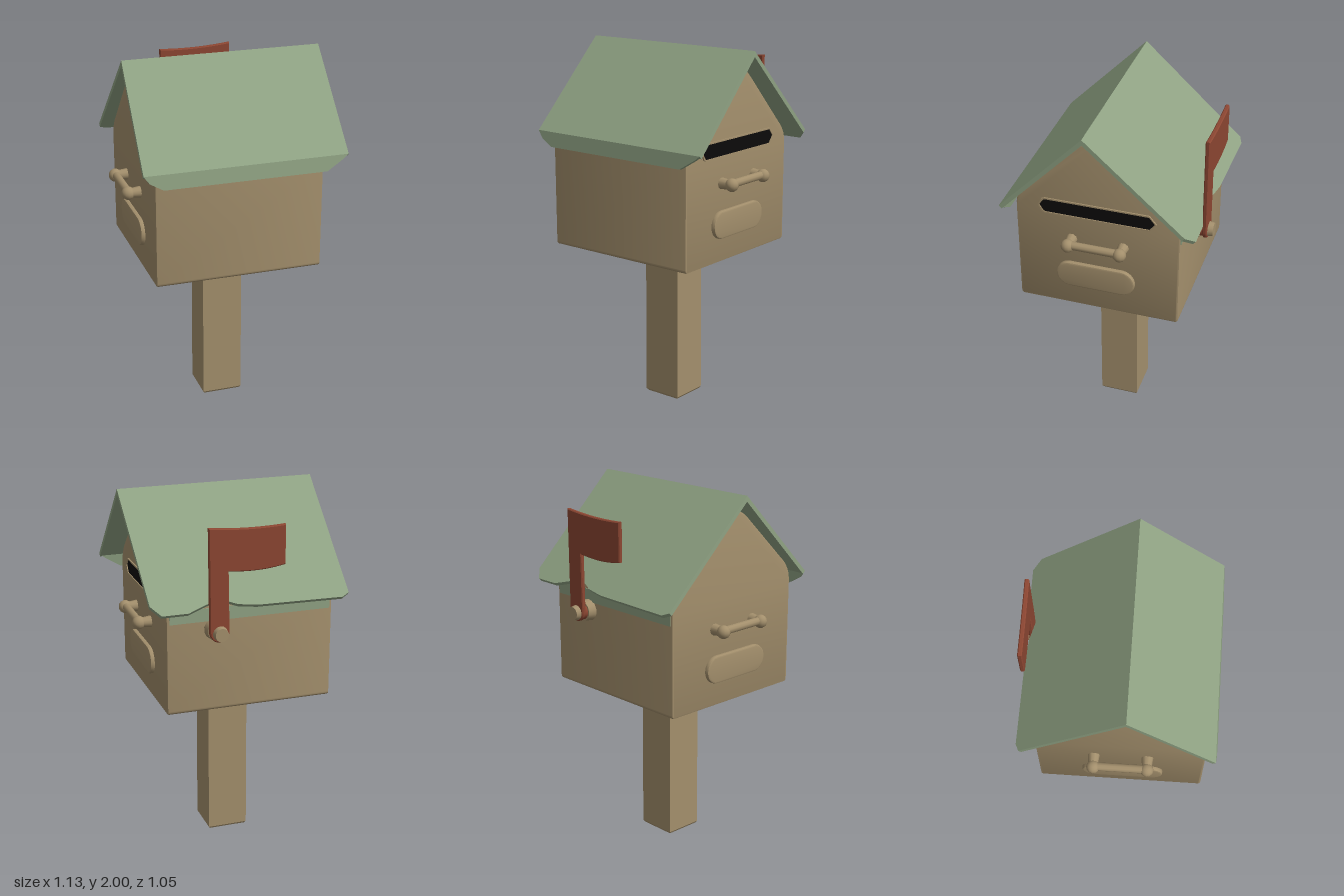
import * as THREE from 'three';
import { toCreasedNormals } from 'three/addons/utils/BufferGeometryUtils.js';

const material = (name, color) => {
  const m = new THREE.MeshStandardMaterial({ color });
  m.name = name;
  return m;
};

export function createModel() {
  const group = new THREE.Group();
  const tan = material('tan wood', 0xa38f6c);
  const green = material('sage green', 0x8fa283);
  const red = material('rust red', 0x8c4632);
  const dark = material('dark opening', 0x0c0b0a);

  const add = (name, geometry, mat, parent = group) => {
    const mesh = new THREE.Mesh(geometry, mat);
    mesh.name = name;
    parent.add(mesh);
    return mesh;
  };
  const polygon = (points) => new THREE.Shape(points.map(([x, y]) => new THREE.Vector2(x, y)));

  // Extrudes a (z, y) outline along x, from x0 to x1
  const alongX = (shape, x0, x1, bevel = 0) => {
    const g = new THREE.ExtrudeGeometry(shape, {
      depth: x1 - x0 - 2 * bevel, curveSegments: 10, bevelEnabled: bevel > 0,
      bevelSize: bevel, bevelThickness: bevel, bevelOffset: -bevel, bevelSegments: 2,
    });
    g.rotateY(Math.PI / 2).translate(x0 + bevel, 0, 0);
    return toCreasedNormals(g, 0.6);
  };

  // Post with a flared capital, built as a four-sided lathe
  const r = Math.SQRT2;
  const postProfile = [[0, 0], [0.105, 0], [0.113, 0.012], [0.112, 0.78], [0.125, 0.8],
    [0.155, 0.825], [0.16, 0.85], [0.16, 0.9], [0, 0.9]]
    .map(([w, y]) => new THREE.Vector2(w * r, y));
  const post = new THREE.LatheGeometry(postProfile, 4).rotateY(Math.PI / 4).scale(1, 1, 0.96);
  add('post', toCreasedNormals(post, 0.5), tan).position.z = 0.02;

  // Box body with rounded gable (shape x is -z)
  const b = new THREE.Shape();
  b.moveTo(-0.45, 0.89);
  b.lineTo(0.39, 0.89);
  b.quadraticCurveTo(0.41, 0.89, 0.41, 0.91);
  b.lineTo(0.41, 1.45);
  b.quadraticCurveTo(0.41, 1.51, 0.35, 1.565);
  b.lineTo(0.06, 1.865);
  b.quadraticCurveTo(-0.04, 1.96, -0.13, 1.87);
  b.lineTo(-0.4, 1.61);
  b.quadraticCurveTo(-0.47, 1.55, -0.47, 1.47);
  b.lineTo(-0.47, 0.91);
  b.quadraticCurveTo(-0.47, 0.89, -0.45, 0.89);
  add('body', alongX(b, -0.47, 0.44, 0.008), tan);

  // Roof: thin sheets, each drawn as (x, distance down the slope)
  const roof = new THREE.Group();
  roof.name = 'roof';
  group.add(roof);
  const thickness = 0.022;
  const sheet = (name, top, bottom, outline, outward) => {
    const dy = bottom[1] - top[1], dz = bottom[0] - top[0], len = Math.hypot(dy, dz);
    const g = new THREE.ExtrudeGeometry(polygon(outline.map(([x, t]) => [x, t * len])),
      { depth: thickness, bevelEnabled: false });
    if (outward) g.translate(0, 0, -thickness);
    const v = new THREE.Vector3(0, dy / len, dz / len);
    const x = new THREE.Vector3(1, 0, 0);
    g.applyMatrix4(new THREE.Matrix4().makeBasis(x, v, x.clone().cross(v)));
    g.translate(0, top[1], top[0]);
    add(name, g, green, roof);
  };
  const ridge = [0.06, 2], eave = [0.515, 1.53];
  sheet('frontRoof', ridge, eave, [[-0.525, 0], [0.56, 0], [0.56, 1], [-0.54, 1]], false);
  sheet('frontEaveLip', eave, [0.525, 1.45],
    [[-0.54, 0], [0.56, 0], [0.53, 0.3], [0.44, 1], [-0.44, 1], [-0.51, 0.5]], false);
  sheet('backRoof', ridge, [-0.505, 1.475],
    [[-0.525, 0], [0.56, 0], [0.54, 0.92], [0.49, 1], [0.35, 1], [0.25, 0.95],
      [0.17, 0.92], [0.08, 0.97], [-0.02, 0.99], [-0.49, 1], [-0.53, 0.97]], true);

  // Green edge where the roof meets the back wall
  add('backTrim', new THREE.BoxGeometry(0.88, 0.07, 0.006), green).position.set(-0.015, 1.425, -0.411);

  // Letter slot in the left wall, with a thin rim
  const slotOutline = (g) => [[-0.34 - g, 1.5], [-0.32 - g, 1.53 + g], [-0.31, 1.538 + g], [0.25, 1.538 + g],
    [0.28 + g, 1.5], [0.25, 1.462 - g], [-0.31, 1.462 - g], [-0.32 - g, 1.47 - g]].reverse();
  const rim = polygon(slotOutline(0.008));
  rim.holes.push(polygon(slotOutline(0)));
  add('slotRim', alongX(rim, 0.435, 0.448), tan);
  add('slotOpening', alongX(polygon(slotOutline(0)), 0.436, 0.443), dark);

  // Raised panel and bar handle on each gable wall
  const panel = new THREE.Shape();
  panel.absarc(0.1, 1.095, 0.075, -Math.PI / 2, Math.PI / 2);
  panel.absarc(-0.18, 1.095, 0.075, Math.PI / 2, Math.PI * 1.5);
  for (const [side, wall, label] of [[1, 0.44, 'left'], [-1, -0.47, 'right']]) {
    const x0 = side > 0 ? wall - 0.01 : wall - 0.022;
    add(label + 'Panel', alongX(panel, x0, x0 + 0.032, 0.008), tan);

    const handle = new THREE.Group();
    handle.name = label + 'Handle';
    group.add(handle);
    const bar = add('bar', new THREE.CylinderGeometry(0.022, 0.022, 0.3, 10).rotateX(Math.PI / 2), tan, handle);
    bar.position.set(wall + side * 0.065, 1.32, 0.025);
    for (const z of [0.17, -0.11]) {
      const stem = add('stem', new THREE.CylinderGeometry(0.022, 0.032, 0.08, 10)
        .rotateZ(-side * Math.PI / 2), tan, handle);
      stem.position.set(wall + side * 0.035, 1.315, z);
      const knob = add('knob', new THREE.SphereGeometry(0.036, 12, 8), tan, handle);
      knob.position.set(wall + side * 0.066, 1.315, z);
    }
  }

  // Signal flag on the back wall
  const f = new THREE.Shape();
  f.moveTo(0.235, 1.35);
  f.lineTo(0.24, 1.9);
  f.quadraticCurveTo(0.03, 1.875, -0.17, 1.89);
  f.lineTo(-0.17, 1.68);
  f.quadraticCurveTo(-0.03, 1.65, 0.135, 1.67);
  f.lineTo(0.13, 1.35);
  f.absarc(0.1825, 1.35, 0.0525, Math.PI, Math.PI * 2);
  const flag = new THREE.ExtrudeGeometry(f, {
    depth: 0.014, curveSegments: 10, bevelSize: 0.005, bevelOffset: -0.005, bevelThickness: 0.005, bevelSegments: 1,
  });
  add('flag', toCreasedNormals(flag, 0.6), red).position.z = -0.492;

  const disc = (name, radius, z0, z1, mat) => {
    const g = new THREE.CylinderGeometry(radius * 0.85, radius, z0 - z1, 14).rotateX(-Math.PI / 2);
    add(name, g, mat).position.set(0.18, 1.345, (z0 + z1) / 2);
  };
  disc('flagMount', 0.062, -0.4, -0.455, tan);
  disc('flagAxle', 0.045, -0.45, -0.5, red);
  disc('flagCap', 0.042, -0.49, -0.525, tan);

  return group;
}
